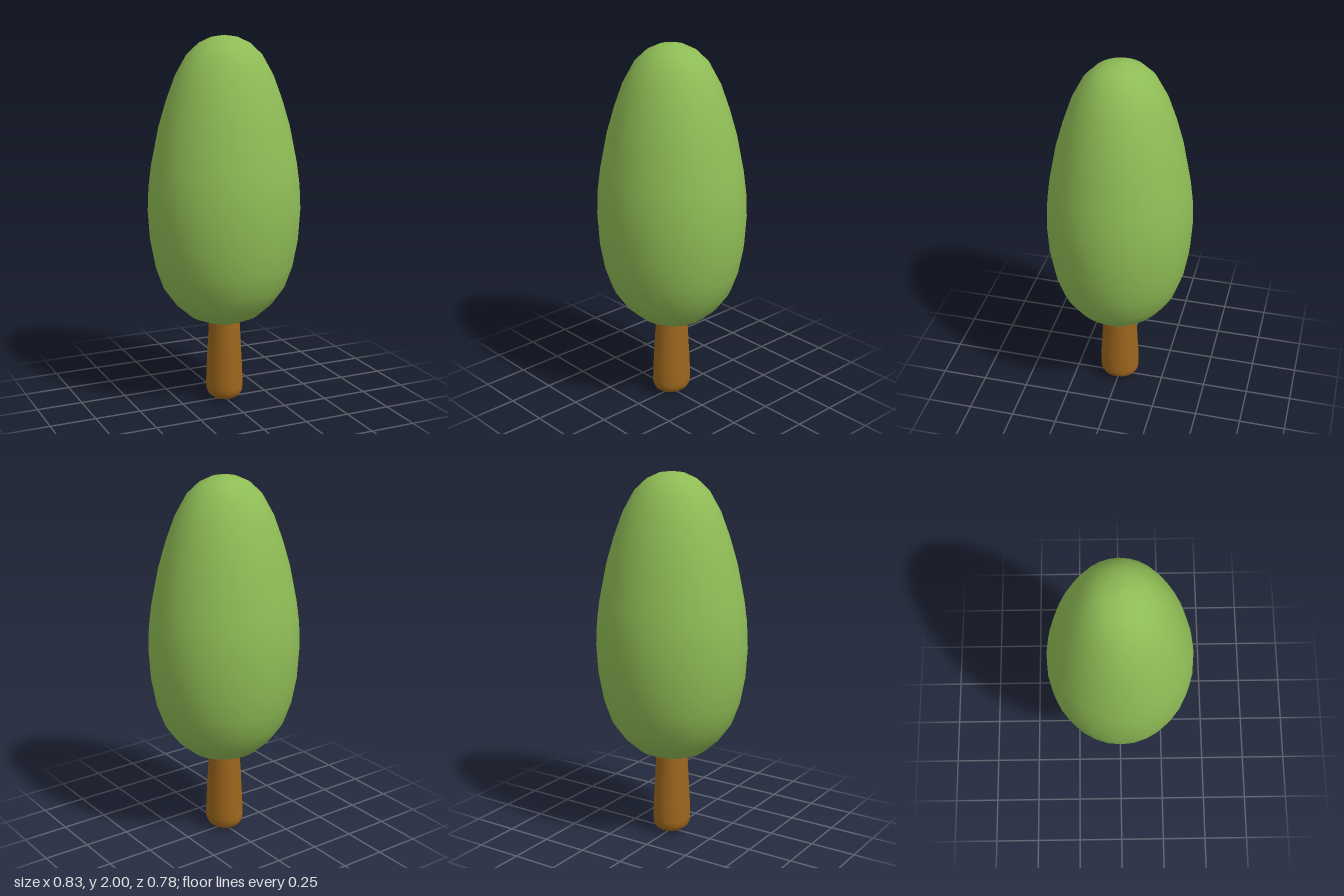
import * as THREE from 'three';

// Smooth solid of revolution with an oval plan: profile radii are in x, z is scaled
function ovalLathe(name, profile, segments, depthScale, color) {
  const points = profile.map(([r, y]) => new THREE.Vector2(r, y));
  const geometry = new THREE.LatheGeometry(points, segments);
  geometry.scale(1, 1, depthScale);
  const mesh = new THREE.Mesh(geometry, new THREE.MeshStandardMaterial({ color }));
  mesh.name = name;
  return mesh;
}

export function createModel() {
  const tree = new THREE.Group();
  tree.name = 'tree';

  // Egg-shaped crown, widest just below the middle
  tree.add(ovalLathe('crown', [
    [0, 0.435], [0.085, 0.447], [0.19, 0.49], [0.27, 0.56], [0.335, 0.65],
    [0.378, 0.77], [0.405, 0.915], [0.415, 1.07], [0.409, 1.2], [0.393, 1.32],
    [0.352, 1.52], [0.31, 1.66], [0.262, 1.79], [0.2, 1.9], [0.135, 1.96],
    [0.07, 1.99], [0, 2],
  ], 32, 0.94, 0x8fbc55));

  // Tapered trunk with a rounded foot, its top hidden in the crown
  tree.add(ovalLathe('trunk', [
    [0, 0], [0.035, 0.004], [0.065, 0.014], [0.087, 0.031], [0.097, 0.052],
    [0.1, 0.08], [0.098, 0.16], [0.083, 0.45], [0.078, 0.55], [0, 0.56],
  ], 32, 1.1, 0x9c661c));

  return tree;
}
